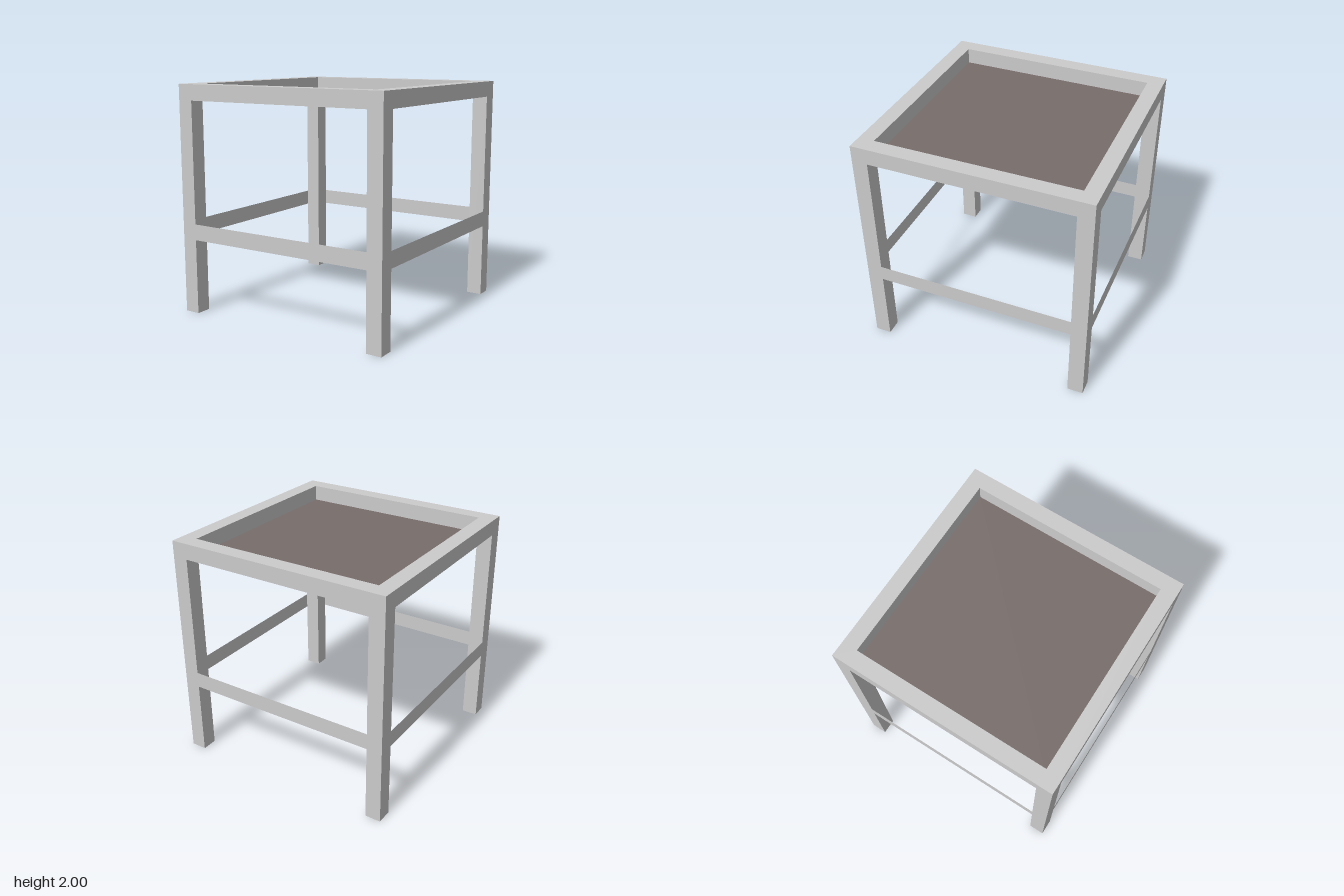
import * as THREE from 'three';

const BAR = 0.137;          // square section of legs and top frame
const HALF = 1;             // half of the overall width
const INNER = HALF - BAR;   // half of the clear opening
const FRAME_Y = 2 - BAR;    // underside of the top frame

const grey = new THREE.MeshStandardMaterial({ color: 0xcccccc });
const greySheet = new THREE.MeshStandardMaterial({ color: 0xcccccc, side: THREE.DoubleSide });
const seatBrown = new THREE.MeshStandardMaterial({ color: 0x786e6c, side: THREE.DoubleSide });

function addMesh(parent, name, geometry, material) {
  const mesh = new THREE.Mesh(geometry, material);
  mesh.name = name;
  parent.add(mesh);
  return mesh;
}

// Closed square outline centred on the origin
function square(PathType, half) {
  return new PathType([[-1, -1], [1, -1], [1, 1], [-1, 1]]
    .map(([x, y]) => new THREE.Vector2(x * half, y * half)));
}

export function createModel() {
  const model = new THREE.Group();
  model.name = 'stool';

  // Square top frame with an open centre
  const outline = square(THREE.Shape, HALF);
  outline.holes.push(square(THREE.Path, INNER));
  const frame = new THREE.ExtrudeGeometry(outline, { depth: BAR, bevelEnabled: false });
  frame.rotateX(-Math.PI / 2);
  addMesh(model, 'topFrame', frame, grey).position.y = FRAME_Y;

  // Thin seat panel, level with the underside of the frame
  const seat = new THREE.PlaneGeometry(2 * INNER, 2 * INNER).rotateX(-Math.PI / 2);
  addMesh(model, 'seatPanel', seat, seatBrown).position.y = FRAME_Y;

  // Four square legs
  const leg = new THREE.BoxGeometry(BAR, FRAME_Y, BAR);
  for (const [zName, z] of [['front', 1], ['back', -1]]) {
    for (const [xName, x] of [['Left', 1], ['Right', -1]]) {
      const offset = HALF - BAR / 2;
      addMesh(model, `${zName}${xName}Leg`, leg, grey)
        .position.set(x * offset, FRAME_Y / 2, z * offset);
    }
  }

  // Thin rungs between the legs, flush with their outer faces
  const rung = new THREE.PlaneGeometry(2 * INNER, 0.14).translate(0, 0.73, HALF);
  ['front', 'left', 'back', 'right'].forEach((side, i) => {
    addMesh(model, `${side}Rung`, rung, greySheet).rotation.y = i * Math.PI / 2;
  });

  return model;
}
